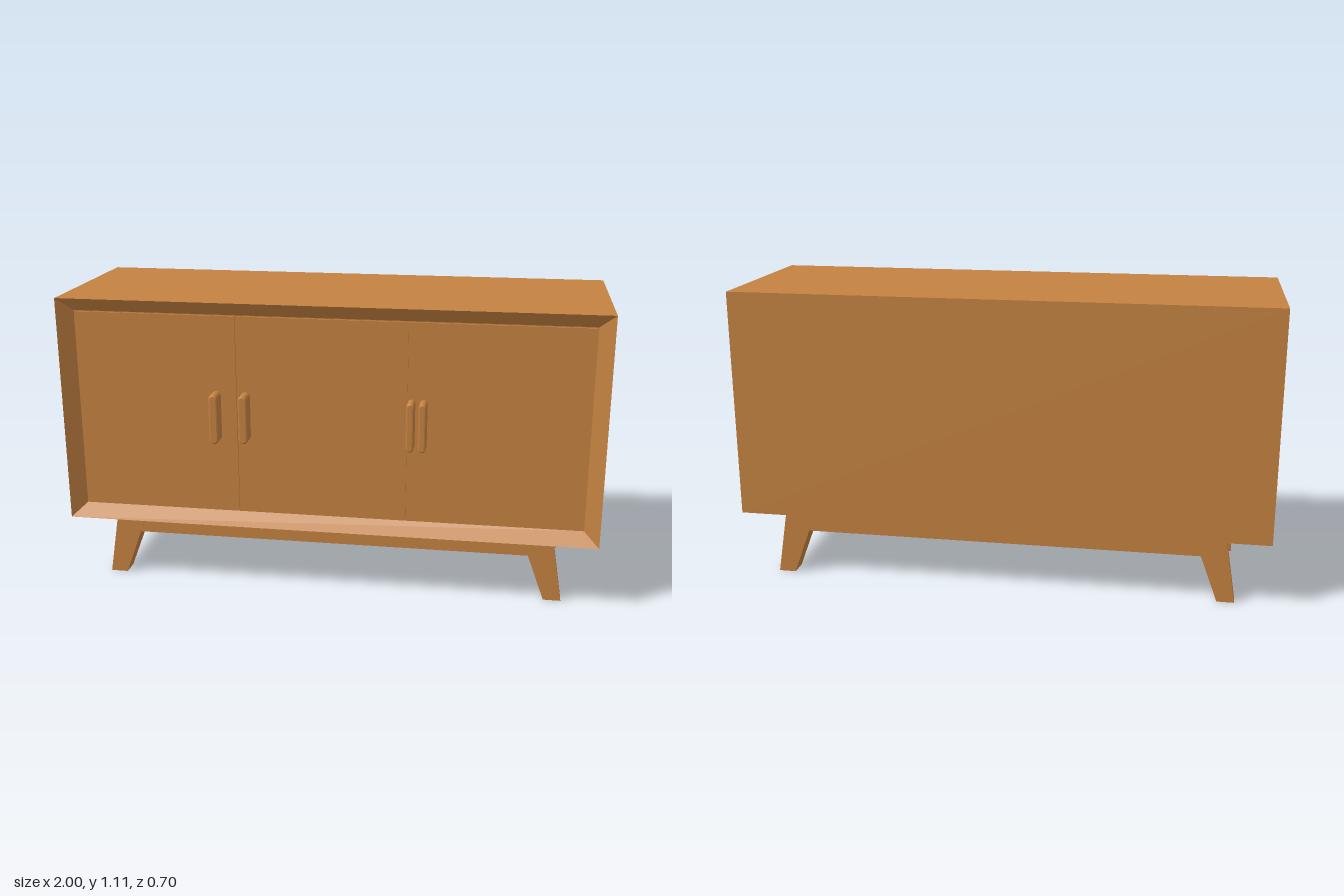
import * as THREE from 'three';

// Rectangle outline, counter-clockwise seen from the front
const rectPoints = (w, y0, y1) => [[-w, y0], [w, y0], [w, y1], [-w, y1]];

// Solid skinned over rectangular cross-sections, listed from back to front
function loftRects(sections) {
  const pos = [];
  const quad = (a, b, c, d) => pos.push(...a, ...b, ...c, ...a, ...c, ...d);
  const loops = sections.map(({ w, y0, y1, z }) => rectPoints(w, y0, y1).map(([x, y]) => [x, y, z]));
  for (let s = 0; s < loops.length - 1; s++) {
    for (let i = 0; i < 4; i++) {
      const j = (i + 1) % 4;
      quad(loops[s][i], loops[s][j], loops[s + 1][j], loops[s + 1][i]);
    }
  }
  const back = loops[0], front = loops[loops.length - 1];
  quad(back[3], back[2], back[1], back[0]);
  quad(front[0], front[1], front[2], front[3]);
  const g = new THREE.BufferGeometry();
  g.setAttribute('position', new THREE.Float32BufferAttribute(pos, 3));
  g.computeVertexNormals();
  return g;
}

// Splayed leg: a box whose corners are moved to the tapered outline
function legGeometry(sideX, sideZ) {
  const g = new THREE.BoxGeometry(1, 1, 1);
  const p = g.attributes.position;
  const outerZ = sideZ > 0 ? 0.252 : 0.305;
  const innerTop = sideZ > 0 ? 0.158 : 0.222;
  const innerFoot = sideZ > 0 ? 0.184 : 0.238;
  for (let i = 0; i < p.count; i++) {
    const top = p.getY(i) > 0;
    const outX = p.getX(i) * sideX > 0;
    const outZ = p.getZ(i) * sideZ > 0;
    const x = outX ? (top ? 0.838 : 0.88) : (top ? 0.722 : 0.815);
    const z = outZ ? outerZ : (top ? innerTop : innerFoot);
    p.setXYZ(i, sideX * x, top ? 0.253 : 0, sideZ * z);
  }
  g.computeVertexNormals();
  return g;
}

// Upright pull with round ends and a softened front edge
function handleGeometry(width, height, depth) {
  const bevel = 0.006;
  const r = width / 2 - bevel;
  const h = height / 2 - bevel - r;
  const s = new THREE.Shape();
  s.absarc(0, h, r, 0, Math.PI, false);
  s.absarc(0, -h, r, Math.PI, Math.PI * 2, false);
  s.closePath();
  return new THREE.ExtrudeGeometry(s, {
    depth: depth - bevel, bevelEnabled: true, bevelThickness: bevel,
    bevelSize: bevel, bevelSegments: 2, curveSegments: 8,
  });
}

export function createModel() {
  const model = new THREE.Group();
  model.name = 'sideboard';
  const wood = new THREE.MeshStandardMaterial({ color: 0xc58341 });
  wood.name = 'warm wood';

  const add = (name, geometry, x = 0, y = 0, z = 0) => {
    const mesh = new THREE.Mesh(geometry, wood);
    mesh.name = name;
    mesh.position.set(x, y, z);
    model.add(mesh);
    return mesh;
  };

  // Cabinet with a bevelled frame sloping in to the recessed front
  add('cabinet', loftRects([
    { w: 1, y0: 0.252, y1: 1.11, z: -0.348 },
    { w: 1, y0: 0.252, y1: 1.11, z: 0.324 },
    { w: 0.945, y0: 0.302, y1: 1.06, z: 0.285 },
  ]));

  // Three doors with narrow gaps between them
  const edges = [-0.945, -0.335, 0.295, 0.945];
  ['rightDoor', 'middleDoor', 'leftDoor'].forEach((name, i) => {
    const w = edges[i + 1] - edges[i] - 0.006;
    add(name, new THREE.BoxGeometry(w, 0.752, 0.01),
      (edges[i] + edges[i + 1]) / 2, 0.681, 0.287);
  });

  // Door pulls: [x, bottom, top, width]
  [
    [-0.414, 0.587, 0.775, 0.034],
    [-0.304, 0.592, 0.775, 0.034],
    [0.307, 0.592, 0.775, 0.028],
    [0.351, 0.592, 0.775, 0.028],
  ].forEach(([x, y0, y1, w], i) => {
    add(`handle${i + 1}`, handleGeometry(w, y1 - y0, 0.06), x, (y0 + y1) / 2, 0.29);
  });

  // Legs, and a long rail joining each pair
  for (const sz of [1, -1]) {
    const end = sz > 0 ? 'front' : 'back';
    for (const sx of [1, -1]) {
      add(`${end}${sx > 0 ? 'Left' : 'Right'}Leg`, legGeometry(sx, sz));
    }
    const outerZ = sz > 0 ? 0.2515 : 0.3045;
    add(`${end}Rail`, new THREE.BoxGeometry(1.52, 0.077, 0.05), 0, 0.2145, sz * (outerZ - 0.025));
  }
  return model;
}
